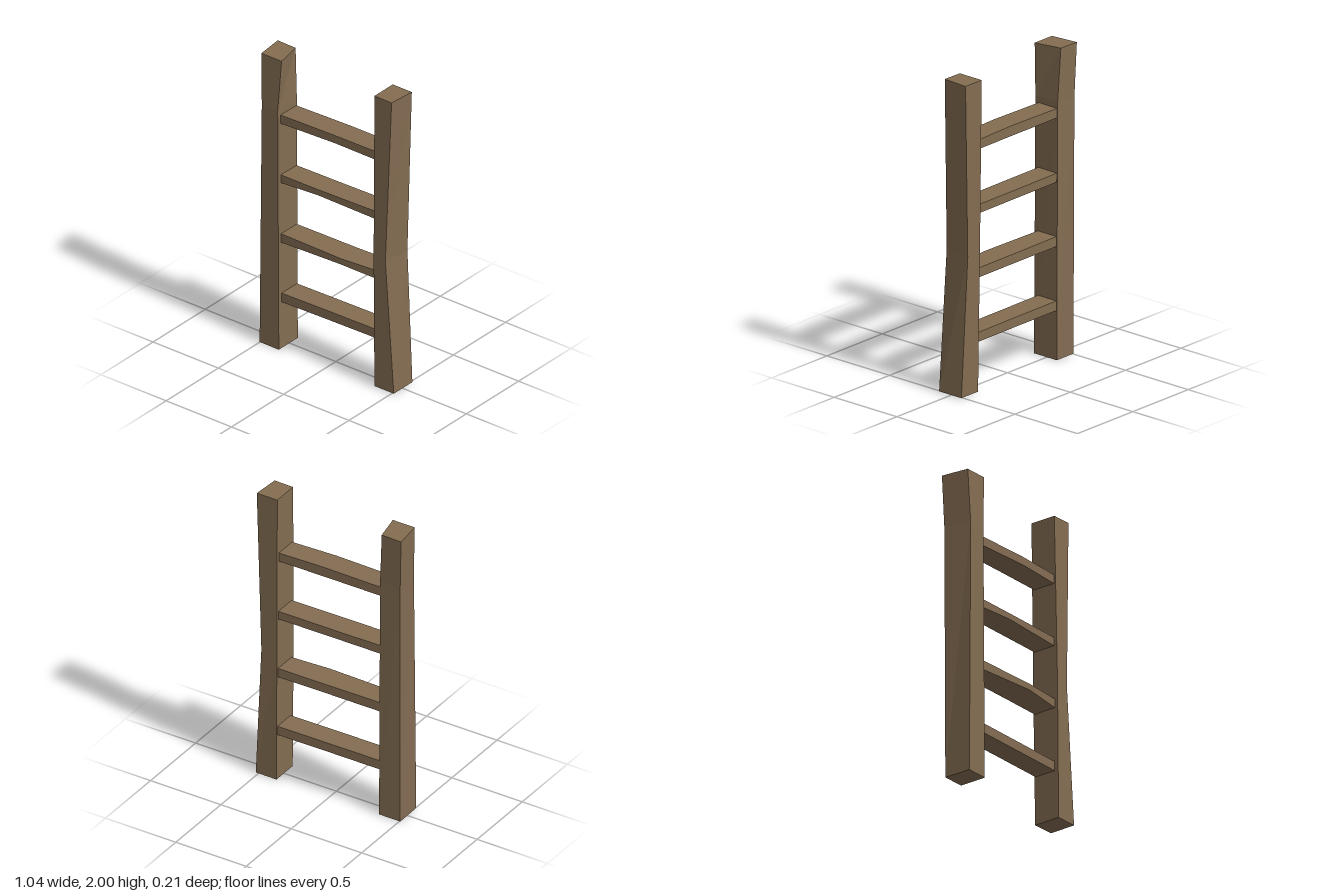
import * as THREE from 'three';

const wood = new THREE.MeshStandardMaterial({ color: 0x846d52 });
wood.name = 'brownWood';

// Closed faceted beam through a list of four-cornered cross-sections.
function beam(name, sections) {
  const index = [];
  const last = (sections.length - 1) * 4;
  for (let s = 0; s < last; s += 4) {
    for (let i = 0; i < 4; i++) {
      const j = (i + 1) % 4;
      const [a, b, c, d] = [s + i, s + j, s + 4 + i, s + 4 + j];
      index.push(a, c, b, b, c, d);
    }
  }
  index.push(0, 1, 2, 0, 2, 3, last, last + 2, last + 1, last, last + 3, last + 2);
  const indexed = new THREE.BufferGeometry();
  indexed.setAttribute('position', new THREE.Float32BufferAttribute(sections.flat(2), 3));
  indexed.setIndex(index);
  const geometry = indexed.toNonIndexed();
  geometry.computeVertexNormals();
  const mesh = new THREE.Mesh(geometry, wood);
  mesh.name = name;
  return mesh;
}

// Post section: corners [x, z] back -x, back +x, front +x, front -x, at height y.
const level = (y, ...corners) => corners.map(([x, z]) => [x, y, z]);

// Rung section at x: bottom, top, back, front and lift of the front lower edge.
const slice = (x, y0, y1, z0, z1, lift = 0) =>
  [[x, y0, z0], [x, y0 + lift, z1], [x, y1, z1], [x, y1, z0]];

export function createModel() {
  const ladder = new THREE.Group();
  ladder.name = 'ladder';

  // Uneven hewn posts
  ladder.add(beam('rightPost', [
    level(0.005, [-0.505, -0.08], [-0.355, -0.08], [-0.355, 0.102], [-0.502, 0.102]),
    level(1.65, [-0.508, -0.085], [-0.362, -0.08], [-0.365, 0.1], [-0.487, 0.1]),
    level(1.995, [-0.52, -0.094], [-0.38, -0.09], [-0.345, 0.088], [-0.5, 0.088]),
  ]));
  ladder.add(beam('leftPost', [
    level(0.01, [0.368, -0.09], [0.516, -0.088], [0.516, 0.09], [0.368, 0.09]),
    level(0.9, [0.36, -0.098], [0.47, -0.098], [0.45, 0.088], [0.36, 0.088]),
    level(2, [0.352, -0.105], [0.498, -0.105], [0.485, 0.072], [0.352, 0.07]),
  ]));

  // Rungs: [bottom, top, middle x, middle top rise, middle front bulge, front edge lift]
  const rungs = [
    [0.32, 0.382, 0, 0.002, 0, 0],
    [0.73, 0.793, 0.1, 0, 0.018, 0.02],
    [1.14, 1.198, -0.08, 0, 0.006, 0.016],
    [1.55, 1.61, 0.05, 0.008, 0.005, 0.012],
  ];
  rungs.forEach(([y0, y1, x, rise, bulge, lift], i) => {
    ladder.add(beam(`rung${i + 1}`, [
      slice(-0.42, y0, y1, -0.074, 0.074),
      slice(x, y0 + 0.003, y1 + rise, -0.079, 0.067 + bulge, lift),
      slice(0.42, y0 + 0.005, y1 + 0.003, -0.085, 0.062),
    ]));
  });

  return ladder;
}
